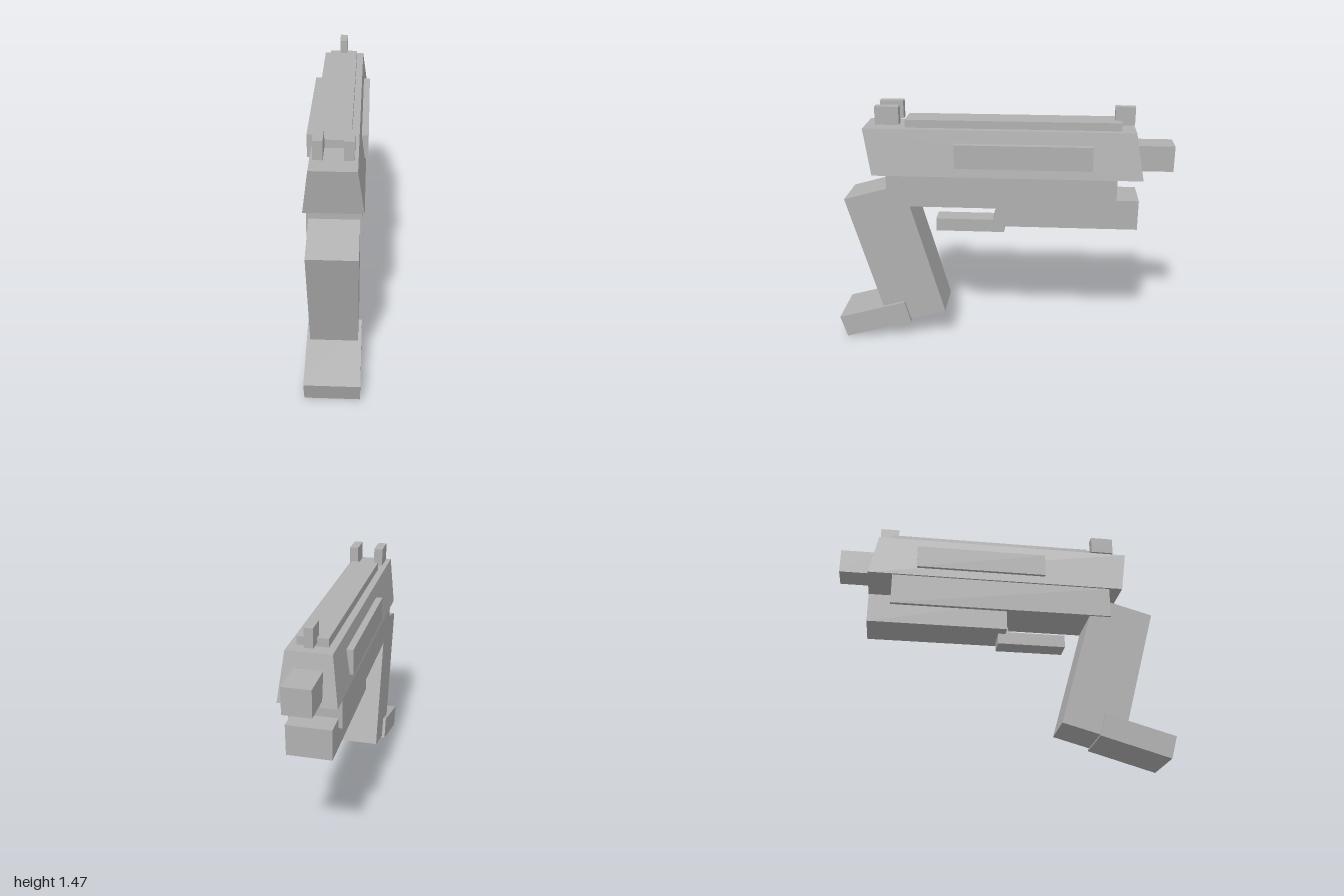
import * as THREE from 'three';

export function createModel() {
  const model = new THREE.Group();
  const grey = new THREE.MeshStandardMaterial({ color: 0xb0b0b0 });
  grey.name = 'plain grey';

  const add = (name, geometry) => {
    const mesh = new THREE.Mesh(geometry, grey);
    mesh.name = name;
    model.add(mesh);
    return mesh;
  };

  // Box given by its limits along each axis
  const block = (name, [x0, x1], [y0, y1], [z0, z1]) => {
    const mesh = add(name, new THREE.BoxGeometry(x1 - x0, y1 - y0, z1 - z0));
    mesh.position.set((x0 + x1) / 2, (y0 + y1) / 2, (z0 + z1) / 2);
  };

  // Side profile of [z, y] points, extruded across x
  const prism = (width, profile) => {
    const shape = new THREE.Shape(profile.map(([z, y]) => new THREE.Vector2(z, y)));
    return new THREE.ExtrudeGeometry(shape, { depth: width, bevelEnabled: false })
      .rotateY(-Math.PI / 2)
      .translate(width / 2, 0, 0);
  };

  // Slide: raked ends, sides leaning in towards the top
  const slide = prism(0.316, [[0.74, 1.08], [-0.825, 1.08], [-0.775, 1.35], [0.787, 1.35]]);
  const p = slide.attributes.position;
  for (let i = 0; i < p.count; i++) {
    if (p.getY(i) > 1.2) p.setX(i, p.getX(i) * 0.775);
  }
  slide.computeVertexNormals();
  add('slide', slide);

  // Upper details
  block('topRib', [-0.083, 0.083], [1.34, 1.396], [-0.695, 0.545]);
  block('sidePanels', [-0.17, 0.17], [1.135, 1.275], [-0.535, 0.255]);
  block('barrel', [-0.077, 0.077], [1.115, 1.265], [-1, -0.785]);
  block('farSight', [-0.023, 0.023], [1.37, 1.475], [-0.77, -0.657]);
  for (const side of [-1, 1]) {
    const x = side * 0.078;
    block(side > 0 ? 'leftNearSight' : 'rightNearSight',
      [x - 0.026, x + 0.026], [1.37, 1.475], [0.575, 0.713]);
  }

  // Frame and under-barrel block
  block('frame', [-0.147, 0.147], [0.89, 1.08], [-0.68, 0.66]);
  block('underBlock', [-0.125, 0.125], [0.77, 0.948], [-0.81, 0.02]);

  // Guard bar with its slanted post
  block('guardBar', [-0.058, 0.058], [0.705, 0.783], [-0.025, 0.385]);
  add('guardPost', prism(0.116, [[0.045, 0.77], [0.01, 0.9], [-0.06, 0.9], [-0.025, 0.77]]));

  // Tilted grip and its foot
  add('grip', prism(0.27, [[0.92, 0.92], [0.689, 0.096], [0.335, 0.195], [0.566, 1.02]].reverse()));
  add('gripFoot', prism(0.308, [[1, 0.137], [0.96, 0.003], [0.55, 0.122], [0.587, 0.255]].reverse()));

  return model;
}
